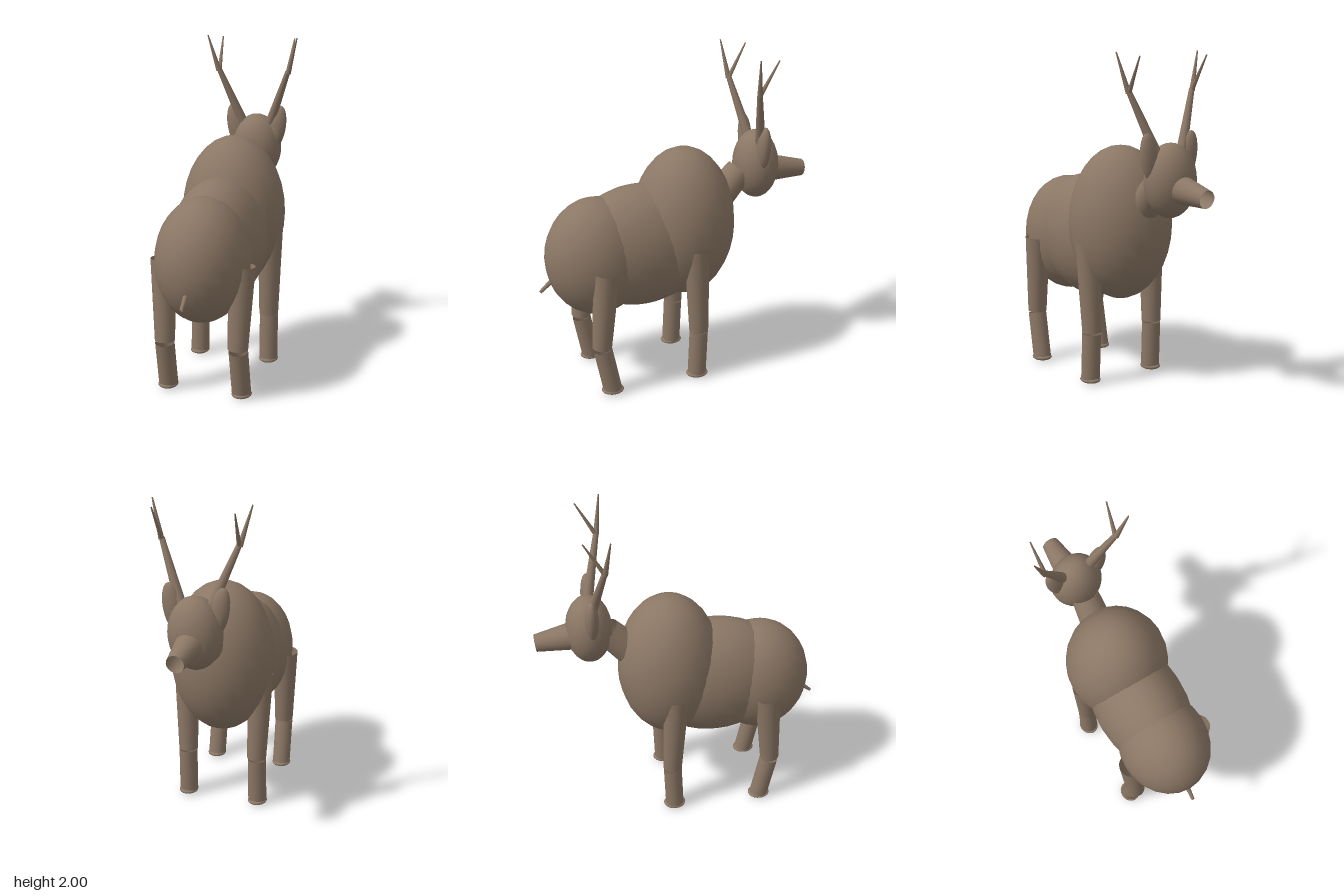
import * as THREE from 'three';

export function createModel() {
  const model = new THREE.Group();
  model.name = 'deer';
  const hide = new THREE.MeshStandardMaterial({ color: 0x8b7765, side: THREE.DoubleSide });
  hide.name = 'brown hide';

  function add(name, geometry) {
    const mesh = new THREE.Mesh(geometry, hide);
    mesh.name = name;
    model.add(mesh);
    return mesh;
  }

  // Ellipsoid given by centre and radii
  function ellipsoid(name, centre, radii, w = 24, h = 16) {
    const mesh = add(name, new THREE.SphereGeometry(1, w, h));
    mesh.position.set(...centre);
    mesh.scale.set(...radii);
    return mesh;
  }

  // Tapered open tube from point a to point b
  function limb(name, a, b, ra, rb, sides = 20) {
    const start = new THREE.Vector3(...a), end = new THREE.Vector3(...b);
    const dir = end.clone().sub(start);
    const mesh = add(name, new THREE.CylinderGeometry(rb, ra, dir.length(), sides, 1, true));
    mesh.position.copy(start).lerp(end, 0.5);
    mesh.quaternion.setFromUnitVectors(new THREE.Vector3(0, 1, 0), dir.normalize());
    return mesh;
  }

  // Body
  ellipsoid('chest', [0, 0.97, -0.06], [0.315, 0.47, 0.315]);
  ellipsoid('barrel', [0, 0.855, 0.22], [0.278, 0.385, 0.46]);
  ellipsoid('rump', [0, 0.825, 0.5], [0.275, 0.367, 0.315]);
  limb('tail', [0, 0.74, 0.74], [0, 0.64, 0.855], 0.018, 0.01, 10);

  // Neck and head
  limb('neck', [0, 1.01, -0.21], [0, 1.249, -0.434], 0.105, 0.085);
  ellipsoid('head', [0, 1.28, -0.537], [0.16, 0.215, 0.138]);
  limb('muzzle', [0, 1.25, -0.55], [0, 1.212, -0.856], 0.095, 0.052);

  for (const [side, s] of [['left', 1], ['right', -1]]) {
    // Ears and antlers
    const ear = ellipsoid(side + 'Ear', [s * 0.137, 1.413, -0.525], [0.058, 0.145, 0.04], 16, 12);
    ear.rotation.z = -s * 0.18;
    limb(side + 'AntlerBeam', [s * 0.08, 1.41, -0.53], [s * 0.226, 1.785, -0.446], 0.033, 0.016, 12);
    limb(side + 'AntlerTip', [s * 0.228, 1.775, -0.446], [s * 0.29, 2.0, -0.415], 0.017, 0.004, 10);
    limb(side + 'AntlerTine', [s * 0.225, 1.775, -0.447], [s * 0.237, 1.98, -0.56], 0.014, 0.004, 10);

    // Front leg
    limb(side + 'FrontThigh', [s * 0.237, 0.88, -0.055], [s * 0.225, 0.32, -0.078], 0.077, 0.059);
    limb(side + 'FrontShin', [s * 0.227, 0.315, -0.077], [s * 0.229, 0.02, -0.065], 0.057, 0.057);
    ellipsoid(side + 'FrontHoof', [s * 0.23, 0.022, -0.066], [0.06, 0.021, 0.069], 20, 10);

    // Back leg
    limb(side + 'BackThigh', [s * 0.237, 0.815, 0.512], [s * 0.225, 0.32, 0.548], 0.078, 0.059);
    limb(side + 'BackShin', [s * 0.227, 0.308, 0.545], [s * 0.229, 0.02, 0.488], 0.057, 0.057);
    ellipsoid(side + 'BackHoof', [s * 0.23, 0.022, 0.489], [0.06, 0.021, 0.069], 20, 10);
  }
  return model;
}
